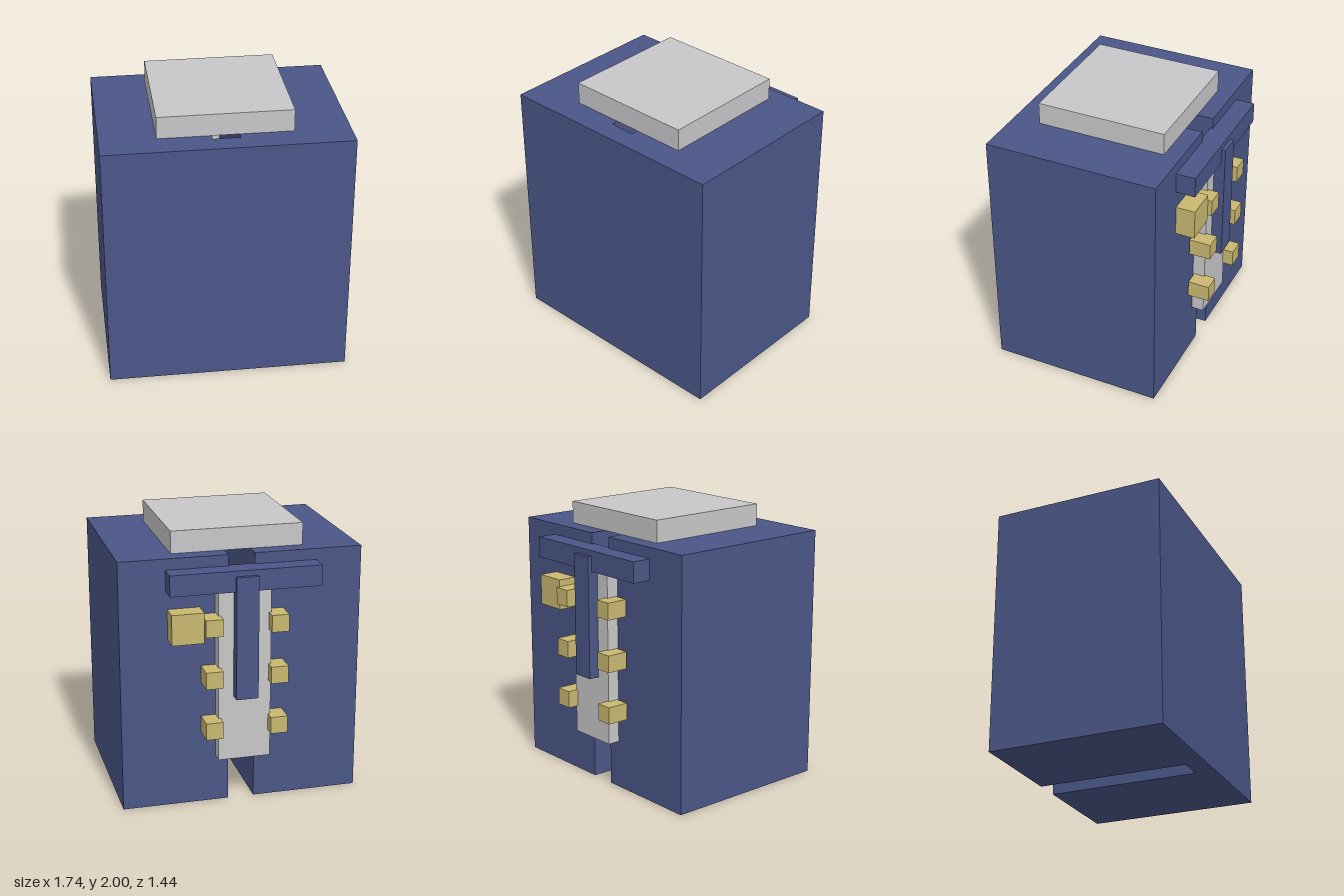
import * as THREE from 'three';

const blue = new THREE.MeshStandardMaterial({ name: 'blue', color: 0x4a5687 });
const grey = new THREE.MeshStandardMaterial({ name: 'lightGrey', color: 0xc7c7c9 });
const gold = new THREE.MeshStandardMaterial({ name: 'gold', color: 0xc9b870 });

// Box given by its lower and upper limits on each axis
function box(name, material, [x0, x1], [y0, y1], [z0, z1]) {
  const mesh = new THREE.Mesh(new THREE.BoxGeometry(x1 - x0, y1 - y0, z1 - z0), material);
  mesh.position.set((x0 + x1) / 2, (y0 + y1) / 2, (z0 + z1) / 2);
  mesh.name = name;
  return mesh;
}

export function createModel() {
  const model = new THREE.Group();
  model.name = 'slottedBlock';

  // Body: U-shaped plan, with a slot open to the back and running full height
  const plan = new THREE.Shape([
    [-0.87, -0.72], [0.87, -0.72], [0.87, 0.55], [0.095, 0.55],
    [0.095, -0.57], [-0.095, -0.57], [-0.095, 0.55], [-0.87, 0.55],
  ].map(([x, y]) => new THREE.Vector2(x, y)));
  const bodyGeometry = new THREE.ExtrudeGeometry(plan, { depth: 1.84, bevelEnabled: false });
  bodyGeometry.rotateX(-Math.PI / 2);
  const body = new THREE.Mesh(bodyGeometry, blue);
  body.name = 'body';
  model.add(body);

  // Cap on top and the plate, crossbar and strip on the back
  model.add(
    box('topCap', grey, [-0.475, 0.475], [1.84, 2], [-0.43, 0.52]),
    box('backPlate', grey, [-0.19, 0.19], [0.35, 1.62], [-0.64, -0.51]),
    box('crossbar', blue, [-0.54, 0.54], [1.61, 1.76], [-0.69, -0.53]),
    box('centreStrip', blue, [-0.08, 0.08], [0.83, 1.72], [-0.72, -0.56]),
    box('sideBlock', gold, [0.3, 0.53], [1.26, 1.48], [-0.69, -0.53]),
  );

  // Three pairs of studs beside the plate
  const studs = new THREE.Group();
  studs.name = 'studs';
  for (const y of [0.61, 0.99, 1.37]) {
    for (const x of [-0.235, 0.235]) {
      studs.add(box('stud', gold, [x - 0.062, x + 0.062], [y - 0.062, y + 0.062], [-0.72, -0.56]));
    }
  }
  model.add(studs);
  return model;
}
